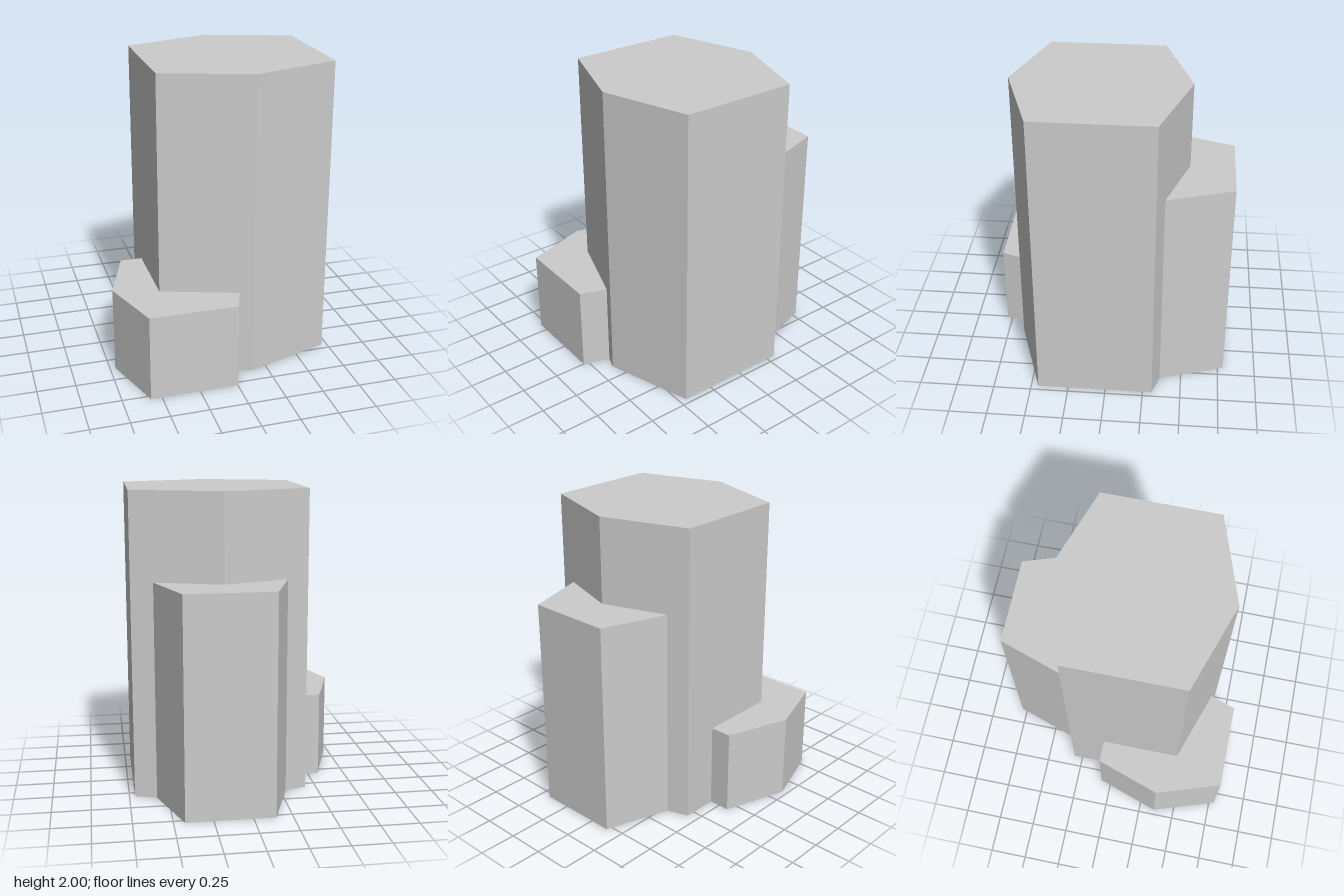
import * as THREE from 'three';

const material = new THREE.MeshStandardMaterial({ color: 0xcccccc, flatShading: true });

// Upright prism over a six-sided outline of [x, z] offsets from its centre
function column(name, outline, height, x, z) {
  const shape = new THREE.Shape(outline.map(([px, pz]) => new THREE.Vector2(px, -pz)));
  const geometry = new THREE.ExtrudeGeometry(shape, { depth: height, bevelEnabled: false });
  geometry.rotateX(-Math.PI / 2);
  const mesh = new THREE.Mesh(geometry, material);
  mesh.name = name;
  mesh.position.set(x, 0, z);
  return mesh;
}

export function createModel() {
  const group = new THREE.Group();
  group.name = 'hexagonalColumns';

  // Wide hexagon with points facing front and back
  const large = [[0, -0.571], [0.571, -0.381], [0.571, 0.381], [0, 0.571], [-0.571, 0.381], [-0.571, -0.381]];
  // Smaller hexagon with points facing the sides
  const small = [[-0.286, -0.429], [0.286, -0.429], [0.429, 0], [0.286, 0.429], [-0.286, 0.429], [-0.429, 0]];

  group.add(
    column('tallColumn', large, 2, 0.143, 0.071),
    column('middleColumn', small, 1.429, 0.143, -0.357),
    column('shortColumn', small, 0.571, -0.286, 0.357),
  );
  return group;
}
